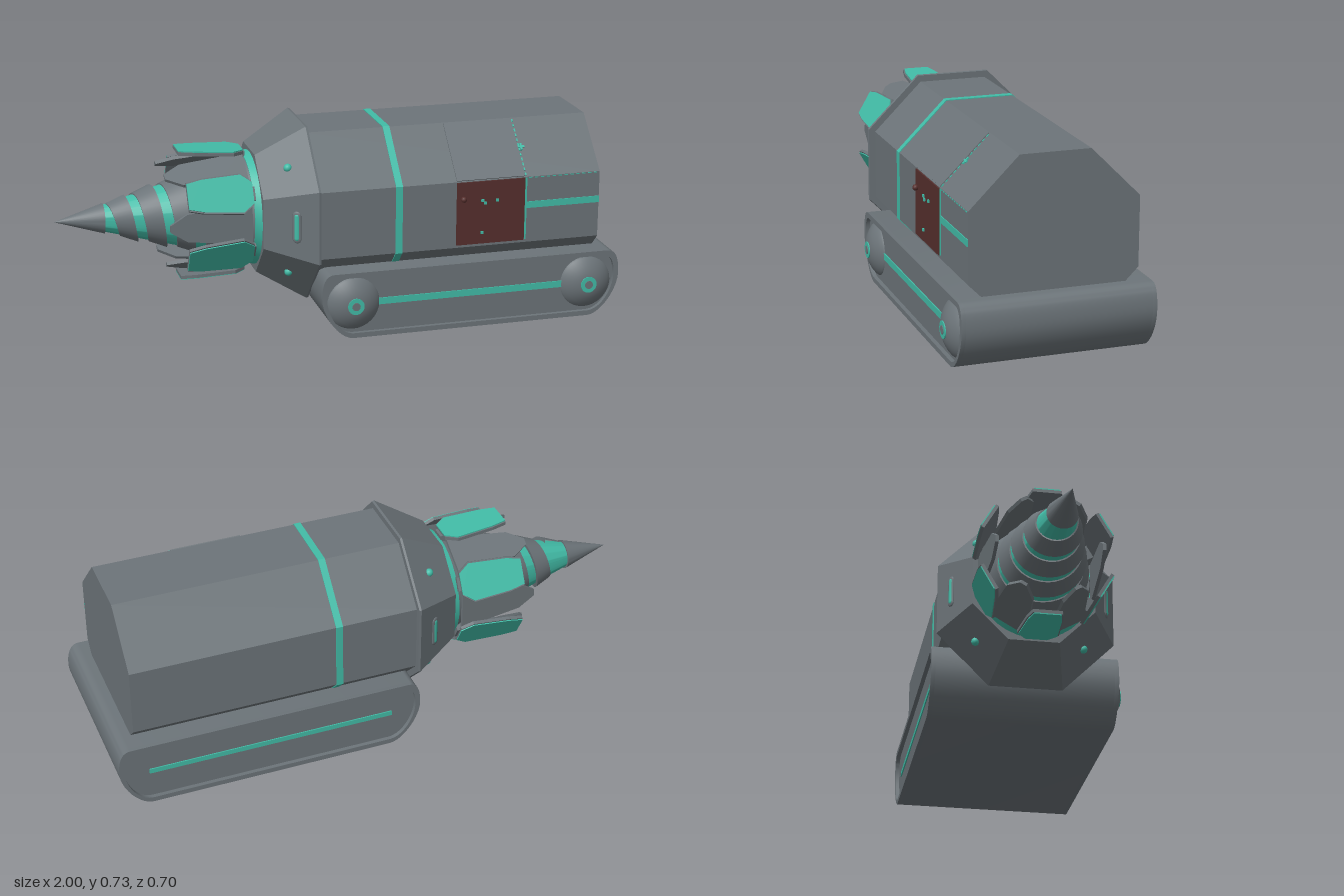
import * as THREE from 'three';
import { toCreasedNormals } from 'three/addons/utils/BufferGeometryUtils.js';

const mat = (name, color) => Object.assign(new THREE.MeshStandardMaterial({ color }), { name });

export function createModel() {
  const steel = mat('steel grey', 0x6c7479);
  const teal = mat('teal', 0x42bca7);
  const rust = mat('dark red', 0x562f2d);

  const model = new THREE.Group();
  model.name = 'drillVehicle';
  // hull and drill share one long axis
  const axis = new THREE.Group();
  axis.name = 'hullAndDrill';
  axis.position.set(0, 0.41, -0.0125);
  model.add(axis);

  const add = (parent, name, geo, material, x = 0, y = 0, z = 0) => {
    const m = new THREE.Mesh(geo, material);
    m.name = name;
    m.position.set(x, y, z);
    parent.add(m);
    return m;
  };
  // round or octagonal section along x, radius r0 at x0 and r1 at x1
  const section = (name, material, x0, x1, r0, r1, sides = 32) => {
    const k = sides === 8 ? 1 / Math.cos(Math.PI / 8) : 1;
    let g = new THREE.CylinderGeometry(r0 * k, r1 * k, x1 - x0, sides);
    g.rotateY(Math.PI / sides).rotateZ(Math.PI / 2);
    g = toCreasedNormals(g, 0.5);
    return add(axis, name, g, material, (x0 + x1) / 2);
  };
  // group turned about the long axis: its +y points outward (0 = up, 90 = front)
  const pivot = (deg) => {
    const p = new THREE.Group();
    p.name = 'mount' + deg;
    p.rotation.x = THREE.MathUtils.degToRad(deg);
    axis.add(p);
    return p;
  };
  const plate = (name, material, deg, x0, x1, s0, s1, r = 0.295, t = 0.006) =>
    add(pivot(deg), name, new THREE.BoxGeometry(x1 - x0, t, s1 - s0), material,
      (x0 + x1) / 2, r + t / 2 - 0.001, (s0 + s1) / 2);

  // hull, band and flared nose
  section('hull', steel, -0.12, 0.93, 0.295, 0.295, 8);
  section('hullBand', teal, 0.165, 0.19, 0.298, 0.298, 8);
  section('noseFlare', steel, -0.295, -0.12, 0.218, 0.32, 8);
  section('noseRim', steel, -0.12, -0.112, 0.32, 0.318, 8);
  section('collarRing', teal, -0.32, -0.294, 0.2, 0.208);
  section('collar', steel, -0.345, -0.318, 0.188, 0.197);

  // nose slots and rivets
  const slope = Math.atan2(0.102, 0.175);
  for (const deg of [90, 270]) {
    const slot = new THREE.Group();
    slot.name = 'noseSlot';
    slot.position.set(-0.19, 0.28, 0);
    slot.rotation.z = slope;
    pivot(deg).add(slot);
    const frame = new THREE.CapsuleGeometry(0.016, 0.085, 4, 12).rotateX(Math.PI / 2).scale(1, 0.3, 1);
    const glow = new THREE.CapsuleGeometry(0.011, 0.08, 4, 12).rotateX(Math.PI / 2).scale(1, 0.6, 1);
    add(slot, 'slotFrame', frame, steel);
    add(slot, 'slotLight', glow, teal);
  }
  for (const deg of [45, 135, 225, 315])
    add(pivot(deg), 'noseRivet', new THREE.SphereGeometry(0.015, 14, 10), teal, -0.2, 0.272, 0);

  // front door, roof hatch and trim lines
  plate('door', rust, 90, 0.39, 0.645, -0.12, 0.112);
  plate('hatch', steel, 45, 0.39, 0.645, -0.119, 0.119, 0.295, 0.005);
  plate('sideStripe', teal, 90, 0.65, 0.93, -0.03, -0.006, 0.295, 0.004);
  plate('doorEdge', teal, 90, 0.647, 0.653, -0.12, 0.11, 0.295, 0.004);
  for (let i = 0; i < 12; i++) {
    const x = 0.66 + i * 0.0225, s = -0.115 + i * 0.02;
    plate('seamDash', teal, 90, x, x + 0.012, -0.121, -0.118, 0.295, 0.003);
    plate('hatchDash', teal, 45, 0.647, 0.652, s, s + 0.011, 0.295, 0.003);
  }
  plate('hatchMark', teal, 45, 0.645, 0.67, -0.004, 0.004);
  plate('hatchMark', teal, 45, 0.654, 0.661, -0.014, 0.014);
  for (const [x, y] of [[0.485, 0.46], [0.495, 0.45], [0.54, 0.457], [0.485, 0.34]])
    plate('doorStud', teal, 90, x - 0.005, x + 0.005, 0.405 - y, 0.415 - y, 0.3);
  add(pivot(90), 'doorKnob', new THREE.SphereGeometry(0.011, 12, 8), rust, 0.413, 0.307, -0.06);

  // drill: teal core, steel tip and helical flute
  const coneR = (x) => 0.272 * (x + 1);
  section('drillCore', teal, -0.9, -0.31, coneR(-0.9), coneR(-0.31));
  section('drillTip', steel, -1, -0.825, 0, 0.054);

  const pos = [], idx = [], perTurn = 32, pitch = 0.1, steps = Math.round(0.42 / pitch * perTurn);
  for (let i = 0; i <= steps; i++) {
    const a = (i / perTurn) * Math.PI * 2, x = -0.815 + (pitch * i) / perTurn;
    const b = x + 0.064;
    for (const [px, r] of [[x, coneR(x) - 0.005], [x, coneR(x) + 0.005],
      [b, coneR(b) + 0.014], [b, coneR(b) - 0.005]])
      pos.push(px, r * Math.cos(a), r * Math.sin(a));
    if (i < steps) for (let j = 0; j < 3; j++) {
      const p = i * 4 + j, q = p + 4;
      idx.push(p, q, p + 1, q, q + 1, p + 1);
    }
  }
  const flute = new THREE.BufferGeometry();
  flute.setAttribute('position', new THREE.Float32BufferAttribute(pos, 3));
  flute.setIndex(idx);
  add(axis, 'drillFlute', toCreasedNormals(flute, 0.6), steel);

  // plate cut from a symmetric half-width profile, lying flat, top at y = 0
  const blade = (profile, t, grow = 0) => {
    const up = profile.map(([x, w]) => new THREE.Vector2(x, w + grow));
    const down = profile.map(([x, w]) => new THREE.Vector2(x, -w - grow)).reverse();
    return new THREE.ExtrudeGeometry(new THREE.Shape([...up, ...down]), { depth: t, bevelEnabled: false })
      .rotateX(-Math.PI / 2).translate(0, -t, 0);
  };
  const petal = [[-0.115, 0.046], [-0.06, 0.058], [0.08, 0.068], [0.12, 0.038]];
  const finger = [[-0.15, 0.012], [-0.09, 0.05], [0.02, 0.062], [0.14, 0.075]];
  for (let i = 0; i < 6; i++) {
    const outer = new THREE.Group();
    outer.name = 'petal';
    outer.position.set(-0.445, 0.229, 0);
    outer.rotation.z = -0.06;
    pivot(i * 60).add(outer);
    add(outer, 'petalBase', blade(petal, 0.012, 0.005), steel);
    add(outer, 'petalFace', blade(petal, 0.005), teal, 0, 0.004, 0);
    // stem joining the petal to the collar
    add(outer, 'petalStem', new THREE.BoxGeometry(0.06, 0.03, 0.05), steel, 0.1, -0.022, 0);
    const inner = add(pivot(i * 60 + 30), 'finger', blade(finger, 0.012), steel, -0.47, 0.198, 0);
    inner.rotation.z = 0.05;
  }

  // track body with a raised rim round each side
  const track = new THREE.Group();
  track.name = 'trackBase';
  model.add(track);
  const outline = (d, Type) => {
    const L = -0.115 + d, R = 1 - d, B = d, T = 0.243 - d, s = new Type();
    s.moveTo(0, B);
    s.lineTo(0.885, B);
    s.bezierCurveTo(0.935, B, R, 0.09, R, 0.155);
    s.quadraticCurveTo(R, T, 0.955 - d, T);
    s.lineTo(-0.07 + d, T);
    s.quadraticCurveTo(L, T, L, 0.155);
    s.bezierCurveTo(L, 0.09, -0.05, B, 0, B);
    return s;
  };
  const extrude = (shape, depth) =>
    toCreasedNormals(new THREE.ExtrudeGeometry(shape, { depth, bevelEnabled: false, curveSegments: 10 }), 0.5);
  add(track, 'trackBody', extrude(outline(0, THREE.Shape), 0.645), steel, 0, 0, -0.333);
  const rim = outline(0, THREE.Shape);
  rim.holes.push(outline(0.018, THREE.Path));
  const rimGeo = extrude(rim, 0.015);
  add(track, 'trackRimFront', rimGeo, steel, 0, 0, 0.312);
  add(track, 'trackRimBack', rimGeo, steel, 0, 0, -0.348);
  add(track, 'trackStripeFront', new THREE.BoxGeometry(0.76, 0.024, 0.006), teal, 0.44, 0.126, 0.313);
  add(track, 'trackStripeBack', new THREE.BoxGeometry(0.9, 0.018, 0.006), teal, 0.44, 0.126, -0.334);

  // domed hubs on the front side
  const dome = new THREE.LatheGeometry(
    [[0.096, 0], [0.092, 0.006], [0.078, 0.017], [0.06, 0.027], [0.04, 0.035], [0.02, 0.038], [0, 0.0385]]
      .map(([r, h]) => new THREE.Vector2(r, h)), 32).rotateX(Math.PI / 2);
  const disc = (r, h) => new THREE.CylinderGeometry(r, r, h, 24).rotateX(Math.PI / 2);
  for (const x of [0.003, 0.877]) {
    add(track, 'hubDome', dome, steel, x, 0.126, 0.312);
    add(track, 'hubRing', disc(0.03, 0.008), teal, x, 0.126, 0.348);
    add(track, 'hubCap', disc(0.015, 0.008), steel, x, 0.126, 0.35);
  }
  return model;
}
